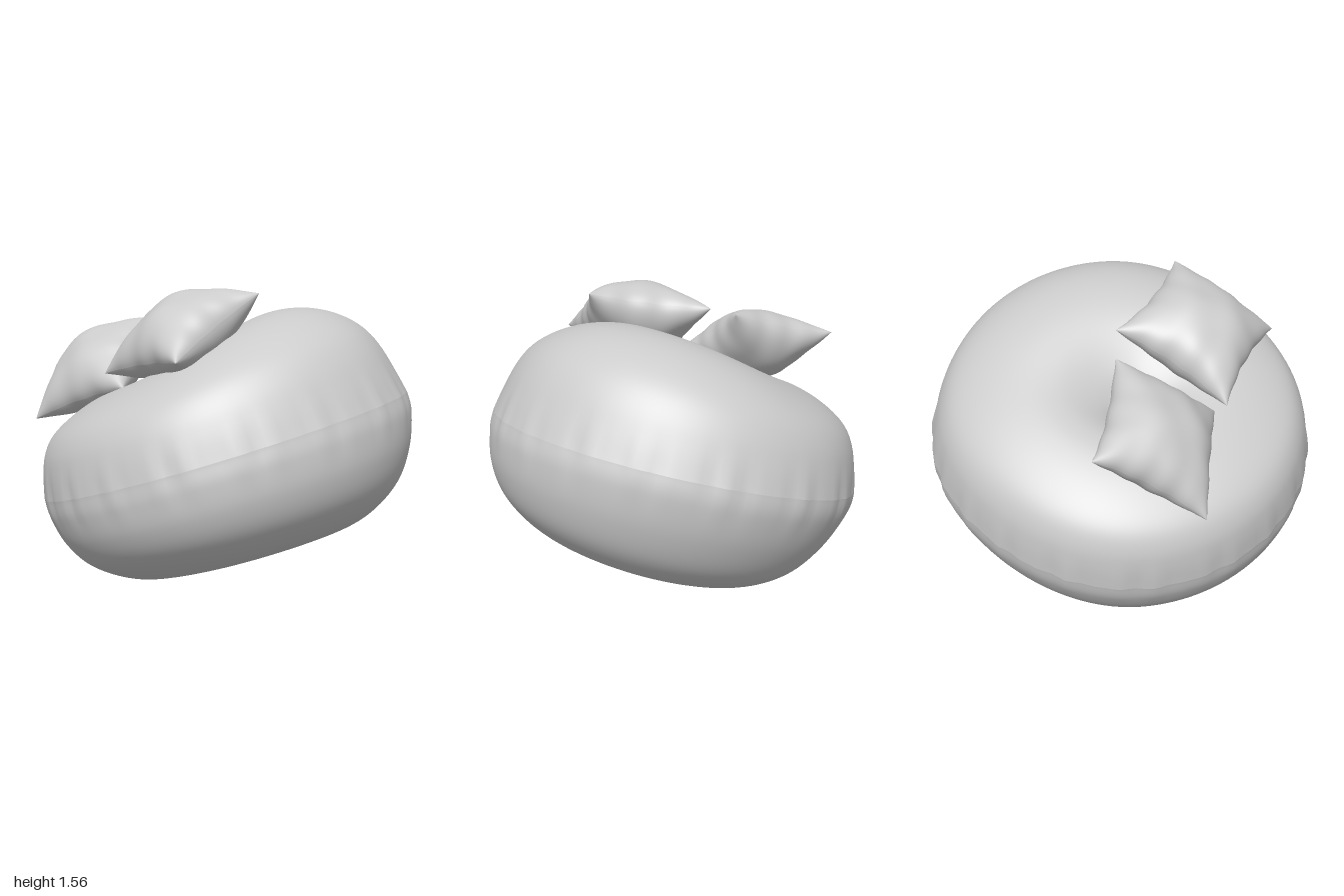
import * as THREE from 'three';
import { mergeVertices } from 'three/addons/utils/BufferGeometryUtils.js';

const material = new THREE.MeshStandardMaterial({ color: 0xcccccc, side: THREE.DoubleSide });
const V = (x, y, z) => new THREE.Vector3(x, y, z);

// Half of the beanbag: a lathe, slumped to one side and puckered along the seam
function coverHalf(name, profile) {
  const curve = new THREE.SplineCurve(profile.map(([r, y]) => new THREE.Vector2(r, y)));
  const points = curve.getPoints(48);
  points.forEach((p) => { p.x = Math.max(p.x, 0); });
  let geo = new THREE.LatheGeometry(points, 160);
  geo.deleteAttribute('uv');
  geo.deleteAttribute('normal');
  geo = mergeVertices(geo, 1e-5);
  const pos = geo.attributes.position;
  for (let i = 0; i < pos.count; i++) {
    let x = pos.getX(i), y = pos.getY(i), z = pos.getZ(i);
    const r = Math.hypot(x, z), a = Math.atan2(z, x);
    // seam puckers, and a slightly narrower diagonal
    const fade = Math.exp(-Math.pow(y / 0.12, 2)) * THREE.MathUtils.smoothstep(r, 0.7, 0.95);
    const k = 1 + fade * (0.004 * Math.sin(29 * a) + 0.003 * Math.sin(47 * a + 1.3 * Math.sin(3 * a)))
      - 0.028 * Math.max(0, Math.sin(2 * a)) ** 2;
    x *= k;
    z *= k * 1.008;
    // top: fuller on one side, with the dimple pushed to the other
    const top = THREE.MathUtils.smoothstep(y, 0, 0.3);
    const bottom = THREE.MathUtils.smoothstep(-y, 0, 0.5);
    const inner = Math.max(0, 1 - r) ** 2;
    const slope = 0.21 + 0.1 * Math.tanh(4 * x);
    y += (slope * x - 0.05 * z) * Math.max(0, 1 - r * r) * top;
    x -= 0.2 * inner * top;
    z += 0.06 * inner * top;
    // bottom: flat base lifted and shifted towards the front
    y += 0.065 * z * bottom;
    z += 0.06 * bottom;
    pos.setXYZ(i, x, y, z);
  }
  geo.computeVertexNormals();
  const mesh = new THREE.Mesh(geo, material);
  mesh.name = name;
  return mesh;
}

// Cushion stretched between four corners: back left, back right, front right, front left
function cushion(name, [bl, br, fr, fl], height) {
  const group = new THREE.Group();
  group.name = name;
  const n = 40;
  const normal = fl.clone().sub(br).add(fr).sub(bl)
    .cross(br.clone().sub(bl).add(fr).sub(fl)).normalize();
  for (const side of [1, -1]) {
    const geo = new THREE.PlaneGeometry(2, 2, n, n);
    const pos = geo.attributes.position;
    for (let i = 0; i < pos.count; i++) {
      // denser rows near the edges
      const s = Math.sin(pos.getX(i) * Math.PI / 2);
      const t = Math.sin(-pos.getY(i) * Math.PI / 2);
      // edges drawn inwards between the corners, with small tucks
      const u = s * (1 - 0.11 * (1 - t * t) + 0.012 * Math.sin(t * 13) * (1 - t * t));
      const w = t * (1 - 0.11 * (1 - s * s) + 0.012 * Math.sin(s * 11 + 1) * (1 - s * s));
      const p = bl.clone().lerp(br, (u + 1) / 2)
        .lerp(fl.clone().lerp(fr, (u + 1) / 2), (w + 1) / 2);
      const bulge = Math.pow(Math.max(0, (1 - s * s) * (1 - t * t)), 0.5);
      const crease = 1 + 0.05 * Math.sin(5 * s + 2 * t) * Math.sin(4 * t - s);
      p.addScaledVector(normal, side * height * bulge * crease);
      pos.setXYZ(i, p.x, p.y, p.z);
    }
    if (side < 0) geo.index.array.reverse();
    geo.computeVertexNormals();
    const mesh = new THREE.Mesh(geo, material);
    mesh.name = side > 0 ? 'cushionTop' : 'cushionUnderside';
    group.add(mesh);
  }
  return group;
}

export function createModel() {
  const model = new THREE.Group();
  model.name = 'beanbagWithCushions';

  // Tilted beanbag body
  const body = new THREE.Group();
  body.name = 'beanbag';
  body.add(
    coverHalf('lowerCover', [
      [0, -0.58], [0.3, -0.58], [0.53, -0.572], [0.69, -0.52], [0.84, -0.41],
      [0.937, -0.26], [0.986, -0.1], [0.988, 0],
    ]),
    coverHalf('upperCover', [
      [0.988, 0], [0.962, 0.12], [0.925, 0.23], [0.865, 0.32], [0.77, 0.39], [0.64, 0.447],
      [0.5, 0.48], [0.38, 0.48], [0.28, 0.453], [0.18, 0.4], [0.09, 0.33], [0, 0.295],
    ]),
  );
  body.rotation.z = THREE.MathUtils.degToRad(18);
  body.position.set(0.005, 0.71, 0);
  model.add(body);

  // Two cushions resting on the lower side
  model.add(
    cushion('rightCushion', [
      V(-0.965, 1.2, -0.25), V(-0.38, 1.37, -0.07), V(-0.39, 1.04, 0.42), V(-0.975, 0.83, 0.28),
    ], 0.175),
    cushion('frontCushion', [
      V(-0.21, 1.43, -0.05), V(0.3, 1.53, 0.32), V(0.06, 1.23, 0.8), V(-0.47, 1.12, 0.46),
    ], 0.185),
  );
  return model;
}
